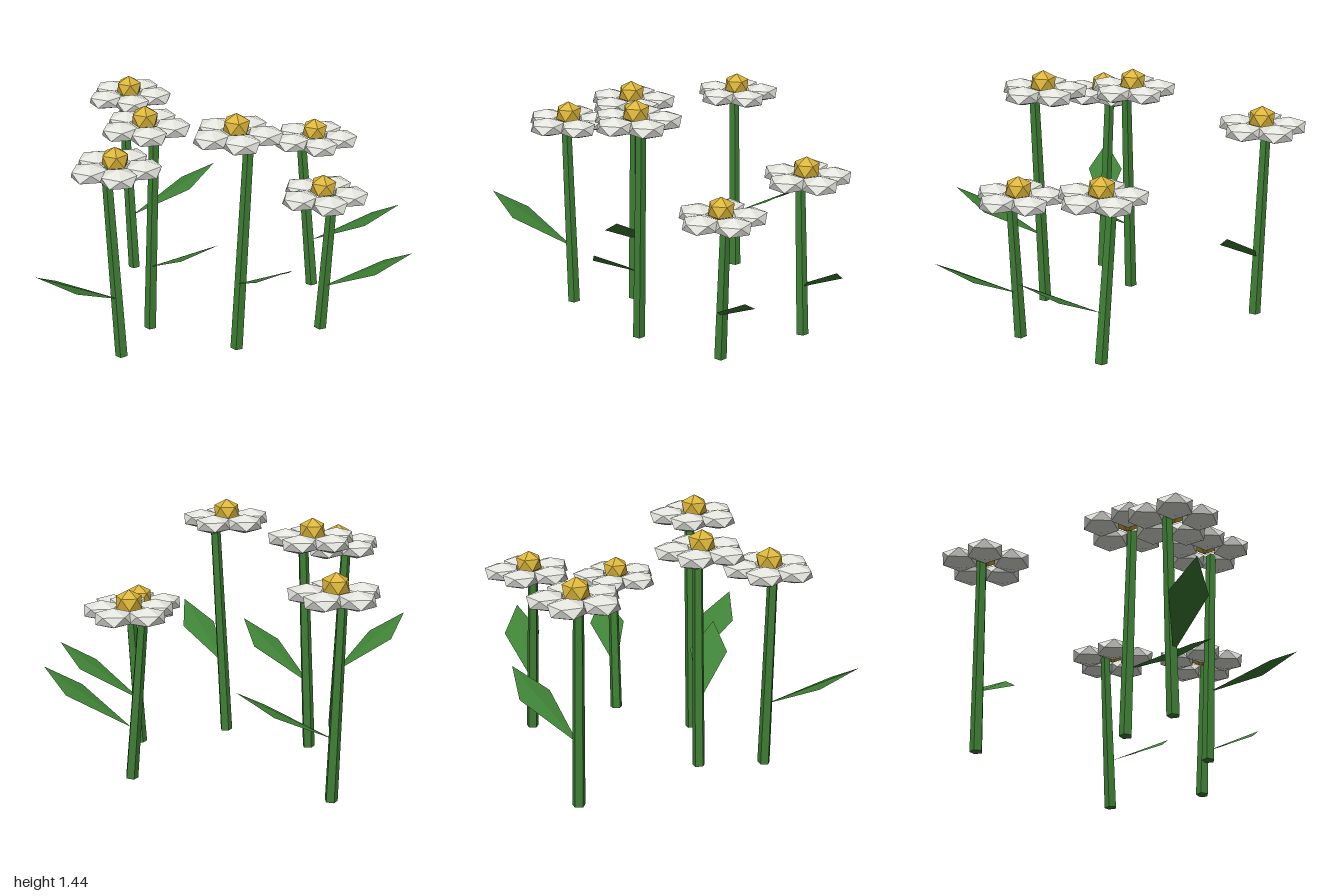
import * as THREE from 'three';

const white = new THREE.MeshStandardMaterial({ color: 0xe6e6e0 });
white.name = 'petalWhite';
const yellow = new THREE.MeshStandardMaterial({ color: 0xdcb63c });
yellow.name = 'centreYellow';
const green = new THREE.MeshStandardMaterial({ color: 0x3f8035 });
green.name = 'stemGreen';
const leafGreen = new THREE.MeshStandardMaterial({ color: 0x3f8236, side: THREE.DoubleSide });
leafGreen.name = 'leafGreen';

function part(geometry, material, name) {
  const mesh = new THREE.Mesh(geometry, material);
  mesh.name = name;
  return mesh;
}

// Flattened icosahedron standing on a corner
function gem(radius, height) {
  const g = new THREE.IcosahedronGeometry(1, 0);
  g.rotateZ(-Math.atan(2 / (1 + Math.sqrt(5))));
  g.scale(radius, height, radius);
  return g.toNonIndexed ? flat(g) : g;
}

// Faceted normals
function flat(g) {
  const out = g.index ? g.toNonIndexed() : g;
  out.computeVertexNormals();
  return out;
}

// Pointed leaf rising along +x from its foot
function leafGeometry() {
  const g = new THREE.BufferGeometry();
  const corners = [0, 0, 0, 0.345, 0.178, 0.107, 0.53, 0.295, 0, 0.345, 0.178, -0.107];
  g.setAttribute('position', new THREE.Float32BufferAttribute(corners, 3));
  g.setIndex([0, 1, 2, 0, 2, 3]);
  return flat(g);
}

const petalGeo = gem(0.113, 0.056);
const centreGeo = gem(0.082, 0.072);
const leafGeo = leafGeometry();

function flower({ x, z, h, lean, leaf }) {
  const group = new THREE.Group();
  group.name = 'flower';
  group.position.set(x, 0, z);

  // Leaning five-sided stem
  const stemGeo = flat(new THREE.CylinderGeometry(0.03, 0.037, h, 5).translate(0, h / 2, 0));
  const stem = part(stemGeo, green, 'stem');
  stem.rotation.z = -Math.atan(lean);
  group.add(stem);

  // Ring of five petals with a raised centre
  const head = new THREE.Group();
  head.name = 'flowerHead';
  head.position.y = h;
  for (let i = 0; i < 5; i++) {
    const a = (i / 5) * Math.PI * 2;
    const petal = part(petalGeo, white, 'petal');
    petal.position.set(Math.cos(a) * 0.155, 0, Math.sin(a) * 0.155);
    head.add(petal);
  }
  const centre = part(centreGeo, yellow, 'flowerCentre');
  centre.position.y = 0.053;
  head.add(centre);
  group.add(head);

  // One leaf, about a third of the way up
  const blade = part(leafGeo, leafGreen, 'leaf');
  blade.position.set(0, h * 0.31, 0);
  blade.rotation.y = -Math.atan2(leaf[1], leaf[0]);
  group.add(blade);
  return group;
}

export function createModel() {
  const model = new THREE.Group();
  model.name = 'flowerPatch';
  // leaf is the ground direction (x, z) of the leaf
  const flowers = [
    { x: -0.77, z: -0.65, h: 1.155, lean: -0.032, leaf: [0.487, -0.205] },
    { x: 0.377, z: -0.543, h: 0.97, lean: -0.082, leaf: [0.53, 0.08] },
    { x: 0.475, z: 0.033, h: 0.845, lean: 0.064, leaf: [0.525, 0.103] },
    { x: -0.522, z: 0.157, h: 1.26, lean: 0.042, leaf: [0.45, 0.28] },
    { x: 0.017, z: 0.345, h: 1.31, lean: 0.054, leaf: [0.35, 0.395] },
    { x: -0.623, z: 0.517, h: 1.15, lean: -0.043, leaf: [-0.372, 0.373] },
  ];
  for (const f of flowers) model.add(flower(f));
  return model;
}
